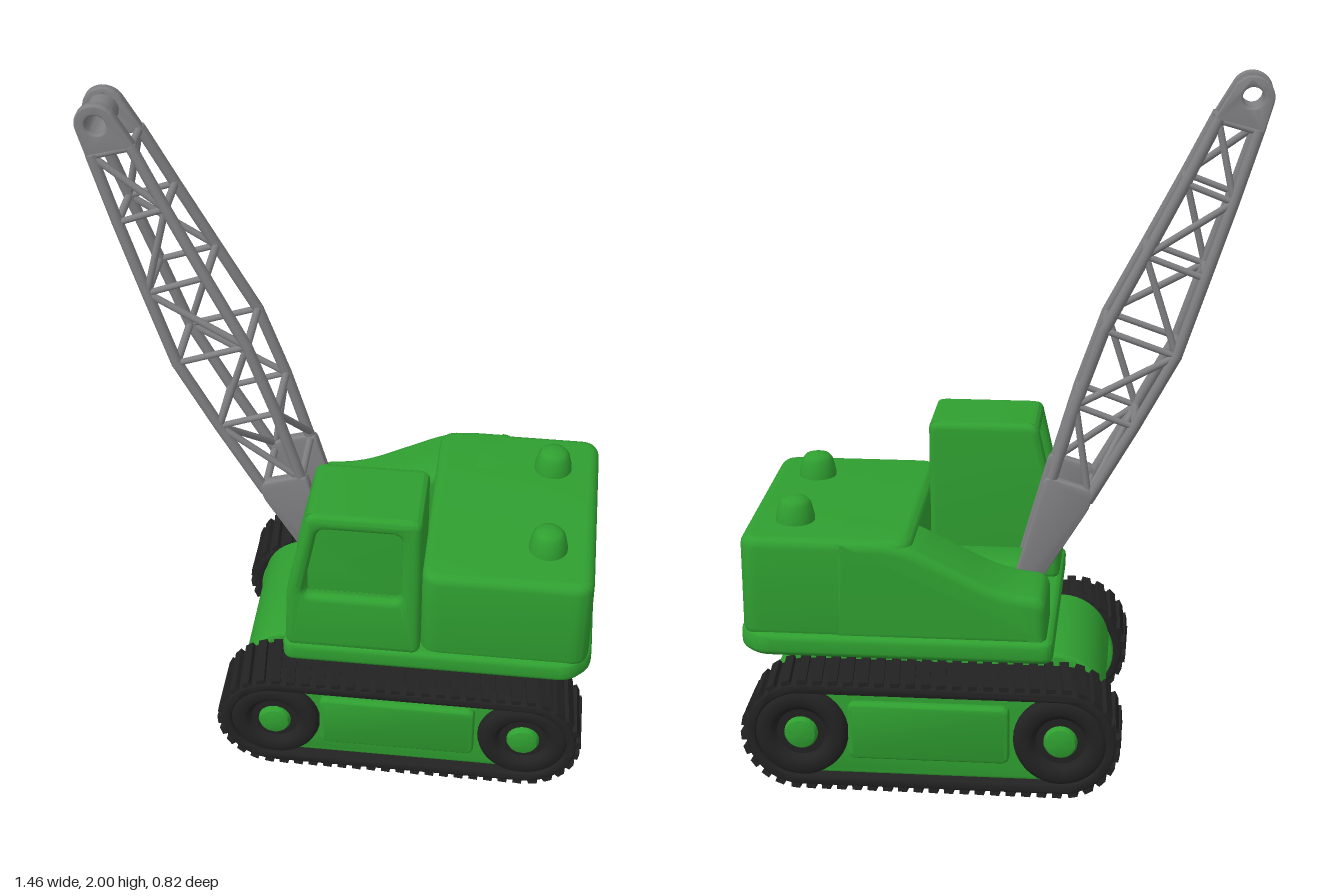
import * as THREE from 'three';
import { toCreasedNormals } from 'three/addons/utils/BufferGeometryUtils.js';
import { RoundedBoxGeometry } from 'three/addons/geometries/RoundedBoxGeometry.js';

const paint = (name, color) => {
  const m = new THREE.MeshStandardMaterial({ color });
  m.name = name;
  return m;
};
const green = paint('green paint', 0x2f9f30);
const grey = paint('grey steel', 0x808083);
const black = paint('black rubber', 0x222222);
const V = (x, y, z) => new THREE.Vector3(x, y, z);

function add(parent, name, geo, mat) {
  const mesh = new THREE.Mesh(geo, mat);
  mesh.name = name;
  parent.add(mesh);
  return mesh;
}

// Closed polygon with rounded corners; points are [x, y, optional radius]
function roundPoly(pts, r, path = new THREE.Shape()) {
  const n = pts.length;
  pts.forEach((p, i) => {
    const c = new THREE.Vector2(p[0], p[1]);
    const rad = p[2] ?? r;
    const toward = (q) => {
      const d = new THREE.Vector2(q[0], q[1]).sub(c);
      return c.clone().addScaledVector(d.clone().normalize(), Math.min(rad, d.length() * 0.48));
    };
    const a = toward(pts[(i + n - 1) % n]), b = toward(pts[(i + 1) % n]);
    if (i) path.lineTo(a.x, a.y); else path.moveTo(a.x, a.y);
    path.quadraticCurveTo(c.x, c.y, b.x, b.y);
  });
  path.closePath();
  return path;
}
const rect = (x0, x1, y0, y1) => [[x0, y0], [x1, y0], [x1, y1], [x0, y1]];

// Extrusion from z0 to z1 with softened edges kept inside the outline
function slab(shape, z0, z1, bevel = 0.01) {
  const geo = new THREE.ExtrudeGeometry(shape, {
    depth: z1 - z0 - 2 * bevel, bevelEnabled: bevel > 0, bevelThickness: bevel,
    bevelSize: bevel, bevelOffset: -bevel, bevelSegments: 4, curveSegments: 10,
  });
  geo.translate(0, 0, z0 + bevel);
  return toCreasedNormals(geo, 0.6);
}
const slabUp = (shape, y0, y1, bevel) => slab(shape, y0, y1, bevel).rotateX(-Math.PI / 2);

function box(parent, name, x0, x1, y0, y1, z0, z1, r, mat = green) {
  const geo = new RoundedBoxGeometry(x1 - x0, y1 - y0, z1 - z0, 4, r);
  geo.translate((x0 + x1) / 2, (y0 + y1) / 2, (z0 + z1) / 2);
  return add(parent, name, geo, mat);
}

function rod(parent, name, a, b, r) {
  const d = b.clone().sub(a);
  const m = add(parent, name, new THREE.CylinderGeometry(r, r, d.length() + r * 0.6, 10), grey);
  m.position.copy(a).add(b).multiplyScalar(0.5);
  m.quaternion.setFromUnitVectors(V(0, 1, 0), d.normalize());
}

function stadium(half, r, cy, path = new THREE.Shape()) {
  path.absarc(half, cy, r, -Math.PI / 2, Math.PI / 2, false);
  path.absarc(-half, cy, r, Math.PI / 2, Math.PI * 1.5, false);
  path.closePath();
  return path;
}

// One crawler, centred lengthwise on its own origin, outside facing +z
function makeTrack() {
  const g = new THREE.Group();
  g.name = 'crawlerTrack';
  const half = 0.37, cy = 0.17, R = 0.157;
  const band = stadium(half, R, cy);
  band.holes.push(stadium(half, R - 0.028, cy, new THREE.Path()));
  add(g, 'trackBelt', slab(band, 0.222, 0.408, 0.006), black);
  // Slanted cleats spaced evenly around the belt
  const arc = Math.PI * R, total = 4 * half + 2 * arc, count = 56;
  for (let i = 0; i < count; i++) {
    let s = (i / count) * total, x, y, a;
    const end = s >= 2 * half + arc;
    if (end) s -= 2 * half + arc;
    if (s < 2 * half) { x = -half + s; y = R + 0.003; a = 0; }
    else {
      a = -(s - 2 * half) / R;
      x = half - Math.sin(a) * (R + 0.003);
      y = Math.cos(a) * (R + 0.003);
    }
    const geo = new THREE.BoxGeometry(0.026, 0.02, 0.18);
    geo.rotateY(0.1).rotateZ(a);
    const cleat = add(g, 'trackCleat', geo, black);
    cleat.position.set(end ? -x : x, cy + (end ? -y : y), 0.315);
    if (end) cleat.rotation.z = Math.PI;
  }
  // Side frame and raised cover
  add(g, 'trackFrame', slab(stadium(half, R - 0.026, cy), 0.2, 0.375, 0.005), green);
  add(g, 'trackCover', slab(roundPoly(rect(-0.235, 0.225, 0.095, 0.27), 0.025), 0.36, 0.398, 0.012), green);
  // Wheels with a grooved rim and a rounded hub
  const rim = [[0.04, 0.3], [0.04, 0.385], [0.07, 0.385], [0.082, 0.398], [0.09, 0.404],
    [0.118, 0.404], [0.13, 0.395], [0.135, 0.38], [0.135, 0.3]];
  const hub = [[0.048, 0.36], [0.048, 0.392], [0.042, 0.402], [0.025, 0.407], [0, 0.408]];
  const turn = (pts) => toCreasedNormals(new THREE.LatheGeometry(
    pts.map(([r, z]) => new THREE.Vector2(r, z)), 36).toNonIndexed().rotateX(Math.PI / 2), 0.7);
  const wheelMat = [[rim.reverse(), black, 'wheelRim'], [hub, green, 'wheelHub']];
  for (const x of [-half, half]) for (const [pts, mat, name] of wheelMat) {
    add(g, name, turn(pts), mat).position.set(x, cy, 0);
  }
  g.position.x = 0.18;
  return g;
}

function makeCab() {
  const g = new THREE.Group();
  g.name = 'cab';
  const outline = [[-0.157, 0.45], [0.235, 0.45], [0.235, 0.94], [-0.088, 0.94], [-0.15, 0.66, 0.05]];
  const outer = roundPoly(outline, 0.03);
  outer.holes.push(roundPoly([[-0.105, 0.645], [0.178, 0.645], [0.178, 0.89], [-0.058, 0.89]], 0.03, new THREE.Path()));
  add(g, 'cabDoorSide', slab(outer, 0.318, 0.365, 0.02), green);
  add(g, 'cabInnerSide', slab(roundPoly(outline, 0.03), 0.11, 0.157, 0.02), green);
  // Roof, back wall, floor and front apron in one strip; windscreen left open
  const strip = roundPoly([[-0.157, 0.45], [0.235, 0.45], [0.235, 0.94], [-0.088, 0.94], [-0.097, 0.9],
    [0.2, 0.9], [0.2, 0.49], [-0.12, 0.49], [-0.115, 0.64], [-0.151, 0.64]], 0.022);
  add(g, 'cabShell', slab(strip, 0.13, 0.345, 0), green);
  return g;
}

function makeBoom() {
  const g = new THREE.Group();
  g.name = 'latticeBoom';
  const zc = -0.014;
  const halfZ = (y) => 0.1 - 0.05 * Math.max(0, (y - 1.25) / 0.7) ** 1.2;
  const at = ([x, y], s) => V(x, y, zc + s * halfZ(y));
  // Node rows of the two chords, foot to tip
  const low = [[-0.25, 0.8], [-0.375, 1.02], [-0.487, 1.23], [-0.56, 1.45], [-0.63, 1.66], [-0.69, 1.85]];
  const high = [[-0.142, 0.85], [-0.21, 1.08], [-0.287, 1.3], [-0.396, 1.51], [-0.498, 1.71], [-0.582, 1.88]];
  for (const s of [-1, 1]) {
    for (let i = 0; i < low.length; i++) {
      rod(g, 'boomStrut', at(low[i], s), at(high[i], s), 0.009);
      if (i === 0) continue;
      rod(g, 'boomChord', at(low[i - 1], s), at(low[i], s), 0.016);
      rod(g, 'boomChord', at(high[i - 1], s), at(high[i], s), 0.016);
      if ((i + (s > 0 ? 1 : 0)) % 2) rod(g, 'boomBrace', at(low[i - 1], s), at(high[i], s), 0.01);
      else rod(g, 'boomBrace', at(high[i - 1], s), at(low[i], s), 0.01);
    }
    // Foot plate and tip lug
    const foot = roundPoly([[-0.085, 0.5], [-0.03, 0.53], [-0.126, 0.87], [-0.262, 0.83], [-0.255, 0.78]], 0.025);
    const fz = zc + s * 0.1;
    add(g, 'boomFoot', slab(foot, fz - 0.016, fz + 0.016, 0.006), grey);
    const lug = new THREE.Shape();
    lug.absarc(-0.672, 1.942, 0.058, 0.47, 3.46, false);
    lug.lineTo(-0.705, 1.845);
    lug.lineTo(-0.568, 1.88);
    lug.closePath();
    lug.holes.push(new THREE.Path().absarc(-0.672, 1.942, 0.029, 0, Math.PI * 2, true));
    const lz = zc + s * 0.05;
    add(g, 'boomTipLug', slab(lug, lz - 0.014, lz + 0.014, 0.005), grey);
  }
  for (const row of [low, high]) {
    for (const p of row) rod(g, 'boomCrossbar', at(p, -1), at(p, 1), 0.011);
    rod(g, 'boomFaceBrace', at([row[0][0], row[0][1] + 0.02], -1), at(row[1], 1), 0.01);
  }
  const ring = new THREE.Shape().absarc(-0.672, 1.942, 0.042, 0, Math.PI * 2, false);
  ring.holes.push(new THREE.Path().absarc(-0.672, 1.942, 0.029, 0, Math.PI * 2, true));
  add(g, 'boomTipSleeve', slab(ring, zc - 0.05, zc + 0.05, 0), grey);
  rod(g, 'boomFootPin', V(-0.08, 0.54, zc - 0.1), V(-0.08, 0.54, zc + 0.1), 0.018);
  return g;
}

export function createModel() {
  const model = new THREE.Group();
  model.name = 'crawlerCrane';

  // Undercarriage
  const left = makeTrack(), right = makeTrack();
  right.rotation.y = Math.PI;
  model.add(left, right);
  const chassis = add(model, 'chassis', slab(stadium(0.34, 0.147, 0.213), -0.22, 0.22, 0.012), green);
  chassis.position.x = 0.18;
  const turntable = add(model, 'turntable', new THREE.CylinderGeometry(0.195, 0.195, 0.06, 40), green);
  turntable.position.set(0.185, 0.38, 0);

  // Deck with clipped rear corners
  const deck = roundPoly([[-0.165, -0.37], [0.67, -0.37], [0.73, -0.31], [0.73, 0.31], [0.67, 0.37], [-0.165, 0.37]], 0.035);
  add(model, 'deck', slabUp(deck, 0.395, 0.46, 0.018), green);

  // Engine house with a sloping side wing
  add(model, 'engineHouse', slabUp(roundPoly(rect(0.232, 0.72, -0.355, 0.35), 0.06), 0.44, 0.742, 0.028), green);
  const wing = roundPoly([[-0.145, 0.44], [0.45, 0.44], [0.45, 0.742], [0.27, 0.742, 0.08],
    [-0.01, 0.6, 0.08], [-0.145, 0.585, 0.04]], 0.01);
  add(model, 'sideWing', slab(wing, -0.355, -0.135, 0.028), green);
  const winch = roundPoly([[-0.13, 0.44], [0.26, 0.44], [0.26, 0.58], [-0.1, 0.58]], 0.035);
  add(model, 'winchHousing', slab(winch, -0.085, 0.065, 0.025), green);
  box(model, 'winchFloor', -0.1, 0.26, 0.43, 0.5, -0.15, 0.12, 0.015);

  // Roof vents
  const vent = [[0.056, 0], [0.055, 0.02], [0.047, 0.055], [0.036, 0.069], [0.018, 0.075], [0, 0.076]];
  for (const z of [-0.19, 0.185]) {
    const geo = new THREE.LatheGeometry(vent.map(([r, y]) => new THREE.Vector2(r, y)), 28);
    add(model, 'roofVent', geo, green).position.set(0.583, 0.737, z);
  }

  model.add(makeCab(), makeBoom());
  return model;
}
